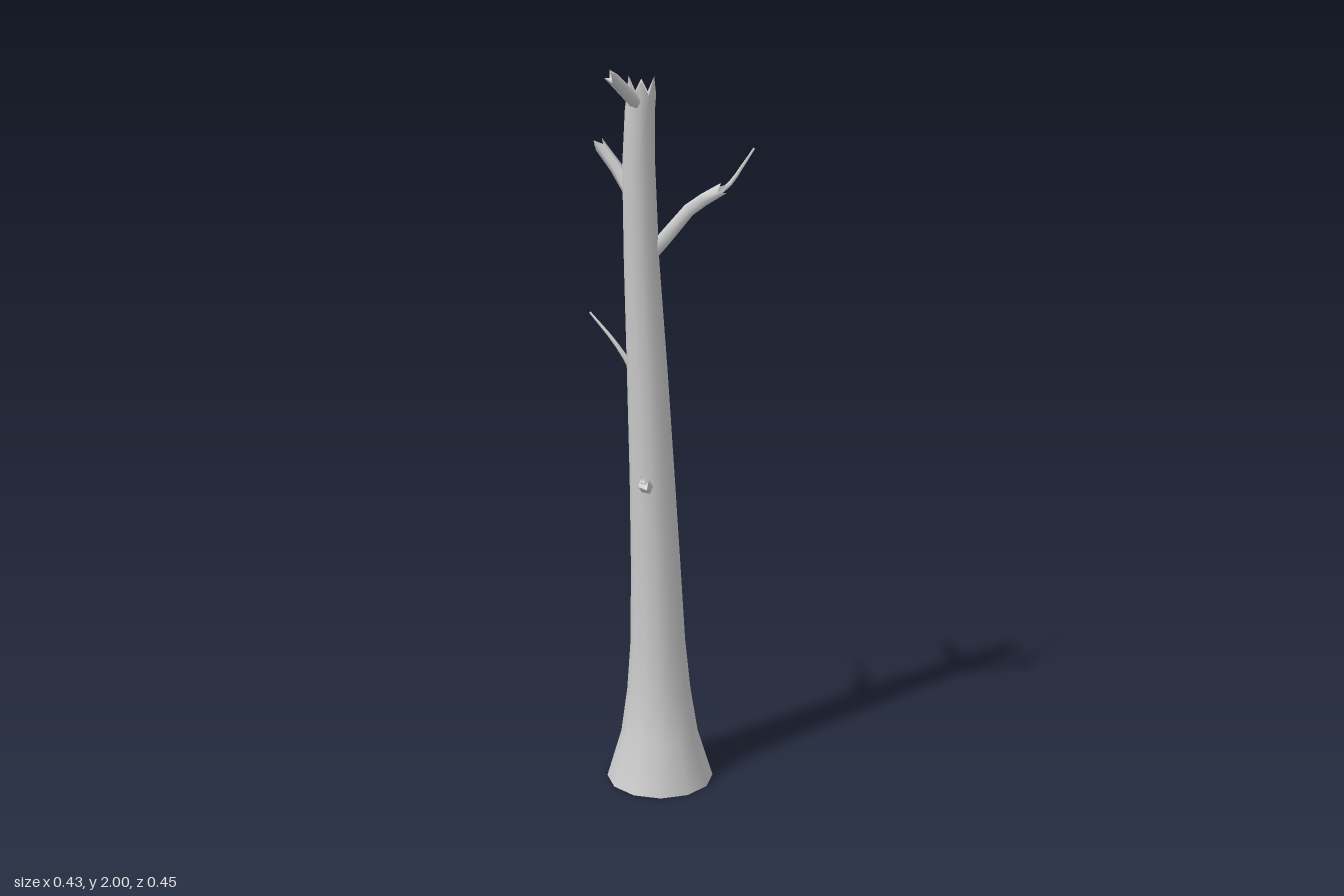
import * as THREE from 'three';

const bark = new THREE.MeshStandardMaterial({ color: 0xcccccc, side: THREE.DoubleSide });
bark.name = 'paleBark';

// Sweeps rings along [x, y, z, radius] points; "jag" splinters the far end, "hollow" recesses its core.
function limb(name, path, { sides = 6, jag = 0, hollow = 0, axis = null } = {}) {
  const centres = path.map(p => new THREE.Vector3(p[0], p[1], p[2]));
  const pos = [], index = [], last = path.length - 1;
  const ring = (i, lift = () => 0) => {
    const t = axis ? axis.clone()
      : centres[Math.min(i + 1, last)].clone().sub(centres[Math.max(i - 1, 0)]).normalize();
    const ref = axis ? new THREE.Vector3(0, 0, 1) : new THREE.Vector3(0, 1, 0);
    const u = ref.cross(t).normalize();
    const v = t.clone().cross(u);
    for (let j = 0; j < sides; j++) {
      const a = j / sides * Math.PI * 2;
      const p = centres[i].clone()
        .addScaledVector(u, Math.cos(a) * path[i][3])
        .addScaledVector(v, Math.sin(a) * path[i][3])
        .addScaledVector(t, lift(j));
      pos.push(p.x, p.y, p.z);
    }
    return t;
  };
  const teeth = j => (j % 2 ? -jag : jag * (0.7 + 0.3 * Math.cos(j * 2.1)));
  let end;
  for (let i = 0; i <= last; i++) end = ring(i, i === last ? teeth : undefined);
  for (let i = 0; i < last; i++) {
    for (let j = 0; j < sides; j++) {
      const k = (j + 1) % sides, a = i * sides, b = a + sides;
      index.push(a + j, a + k, b + k, a + j, b + k, b + j);
    }
  }
  // Broken end: its own rim, falling to a recessed centre
  const rim = (last + 1) * sides;
  ring(last, teeth);
  const core = centres[last].clone().addScaledVector(end, -hollow);
  pos.push(core.x, core.y, core.z);
  for (let j = 0; j < sides; j++) index.push(rim + j, rim + (j + 1) % sides, rim + sides);

  const geometry = new THREE.BufferGeometry();
  geometry.setAttribute('position', new THREE.Float32BufferAttribute(pos, 3));
  geometry.setIndex(index);
  geometry.computeVertexNormals();
  const mesh = new THREE.Mesh(geometry, bark);
  mesh.name = name;
  return mesh;
}

// Thin curved shoot tapering along a smooth curve
function twig(name, points, r0, r1) {
  const curve = new THREE.CatmullRomCurve3(points.map(p => new THREE.Vector3(...p)));
  const path = curve.getPoints(8).map((p, i) => [p.x, p.y, p.z, r0 + (r1 - r0) * i / 8]);
  return limb(name, path, { sides: 5 });
}

export function createModel() {
  const tree = new THREE.Group();
  tree.name = 'deadTree';

  // Leaning trunk with flared, open foot and splintered top
  tree.add(limb('trunk', [
    [0.007, 0, -0.04, 0.15],
    [0.007, 0.14, -0.037, 0.108],
    [0.008, 0.27, -0.031, 0.089],
    [0.008, 0.42, -0.025, 0.076],
    [0.009, 0.65, -0.01, 0.068],
    [0.009, 0.9, 0.009, 0.061],
    [0.008, 1.2, 0.034, 0.054],
    [0.01, 1.5, 0.067, 0.046],
    [0.014, 1.75, 0.088, 0.042],
    [0.024, 1.89, 0.099, 0.038],
    [0.03, 1.953, 0.102, 0.037],
  ], { sides: 12, jag: 0.023, hollow: 0.05, axis: new THREE.Vector3(0, 1, 0) }));

  // Upper left branch and its shoot
  tree.add(limb('upperLeftBranch', [
    [0.03, 1.52, 0.05, 0.021],
    [0.065, 1.565, 0.034, 0.021],
    [0.12, 1.635, 0.014, 0.019],
    [0.155, 1.662, 0, 0.018],
    [0.198, 1.69, -0.018, 0.017],
  ], { jag: 0.012, hollow: 0.03 }));
  tree.add(twig('upperLeftTwig', [
    [0.16, 1.66, -0.005], [0.187, 1.69, -0.07], [0.194, 1.735, -0.14], [0.183, 1.77, -0.228],
  ], 0.008, 0.003));

  // Upper right branch
  tree.add(limb('upperRightBranch', [
    [0, 1.645, 0.075, 0.019],
    [-0.035, 1.685, 0.056, 0.019],
    [-0.075, 1.735, 0.05, 0.017],
    [-0.123, 1.795, 0.058, 0.016],
  ], { jag: 0.012, hollow: 0.03 }));

  // Middle right stub and its shoot
  tree.add(limb('middleRightStub', [
    [-0.02, 1.06, -0.01, 0.026],
    [-0.045, 1.1, -0.035, 0.024],
    [-0.067, 1.13, -0.054, 0.021],
  ], { jag: 0.011, hollow: 0.025 }));
  tree.add(twig('middleRightTwig', [
    [-0.045, 1.1, -0.036], [-0.08, 1.18, -0.038], [-0.13, 1.25, -0.033], [-0.215, 1.323, -0.043],
  ], 0.012, 0.003));

  // Front branch near the top
  tree.add(limb('topFrontBranch', [
    [0.032, 1.9, 0.11, 0.018],
    [0.025, 1.925, 0.143, 0.017],
    [0.001, 1.982, 0.205, 0.015],
  ], { jag: 0.012, hollow: 0.025 }));

  // Small snapped knot low on the front
  tree.add(limb('frontKnot', [
    [0.02, 0.885, 0.05, 0.022],
    [0.022, 0.905, 0.078, 0.018],
  ], { jag: 0.012, hollow: 0.015 }));

  return tree;
}
